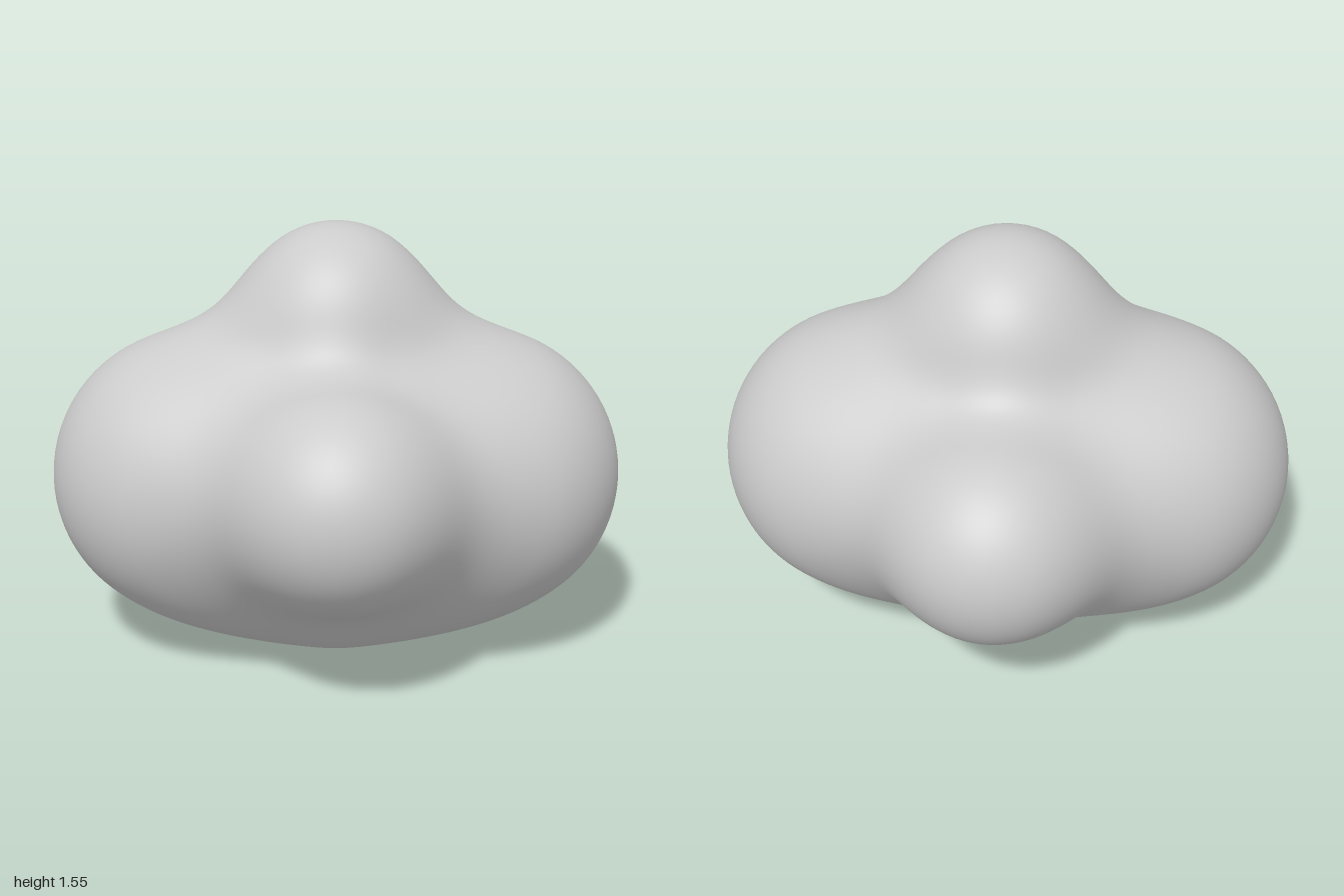
import * as THREE from 'three';
import { mergeVertices } from 'three/addons/utils/BufferGeometryUtils.js';

const CENTRE = new THREE.Vector3(0, 0.65, 0);
const TIGHT = 0.24; // blend within a set of lobes
const WIDE = 0.36;  // blend between the large and small sets

const ball = (x, y, z, r) => ({ c: new THREE.Vector3(x, y, z), r });

// Large left and right lobes
const sideLobes = [ball(0.488, 0.65, 0, 0.512), ball(-0.488, 0.65, 0, 0.512)];

// Small top, front and back lobes
const smallLobes = [
  ball(0, 1.21, 0, 0.34),
  ball(0, 0.75, 0.56, 0.363),
  ball(0, 0.75, -0.56, 0.363),
];

// Belly ellipsoid that joins the lobes underneath
const bellyCentre = new THREE.Vector3(0, 0.42, 0);
const bellyRadii = new THREE.Vector3(0.6, 0.42, 0.43);

function bellyDistance(p) {
  const q = p.clone().sub(bellyCentre).divide(bellyRadii);
  const k = q.length();
  return (k * (k - 1)) / Math.max(q.divide(bellyRadii).length(), 1e-6);
}

function smoothMin(a, b, blend) {
  const h = Math.max(blend - Math.abs(a - b), 0) / blend;
  return Math.min(a, b) - (h * h * blend) / 4;
}

function field(p) {
  const join = (d, { c, r }) => smoothMin(d, p.distanceTo(c) - r, TIGHT);
  const large = sideLobes.reduce(join, bellyDistance(p));
  const small = smallLobes.reduce(join, Infinity);
  return smoothMin(large, small, WIDE);
}

// Walk inwards along a ray until the blended surface is met, then refine
function surfaceRadius(dir) {
  const p = new THREE.Vector3();
  const at = (t) => field(p.copy(CENTRE).addScaledVector(dir, t));
  let outer = 1.2;
  while (outer > 0.1 && at(outer - 0.03) > 0) outer -= 0.03;
  let inner = outer - 0.03;
  for (let i = 0; i < 14; i++) {
    const mid = (inner + outer) / 2;
    if (at(mid) > 0) outer = mid;
    else inner = mid;
  }
  return (inner + outer) / 2;
}

export function createModel() {
  const group = new THREE.Group();
  group.name = 'blendedBlob';

  // Sphere pushed out to the blended surface
  let geometry = new THREE.IcosahedronGeometry(1, 30);
  geometry.deleteAttribute('uv');
  geometry.deleteAttribute('normal');
  geometry = mergeVertices(geometry, 1e-4);
  const pos = geometry.attributes.position;
  const dir = new THREE.Vector3();
  for (let i = 0; i < pos.count; i++) {
    dir.fromBufferAttribute(pos, i).normalize();
    dir.multiplyScalar(surfaceRadius(dir)).add(CENTRE);
    pos.setXYZ(i, dir.x, dir.y, dir.z);
  }
  geometry.computeVertexNormals();

  const body = new THREE.Mesh(geometry, new THREE.MeshStandardMaterial({ color: 0xcccccc }));
  body.name = 'lobedBody';
  group.add(body);
  return group;
}
